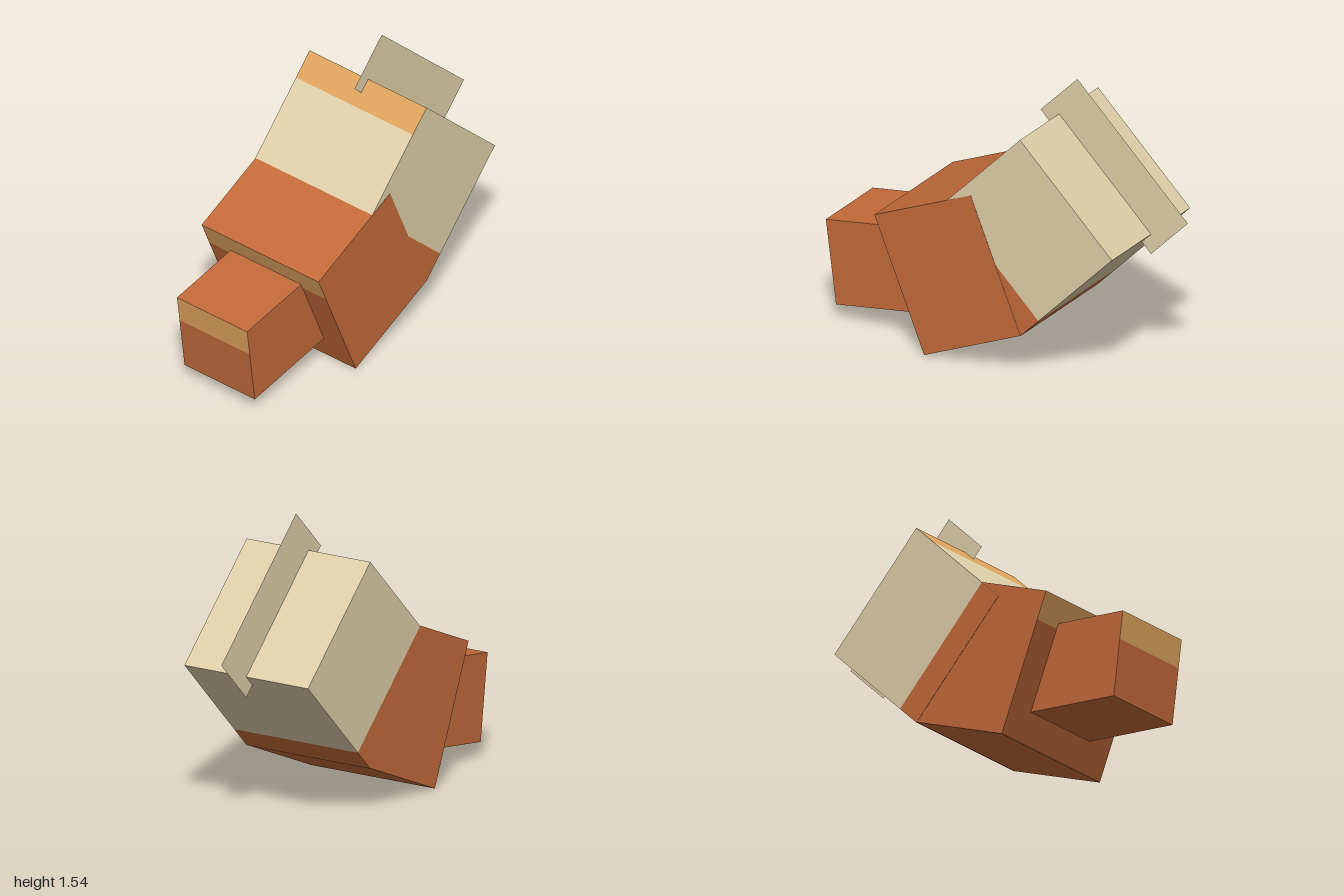
import * as THREE from 'three';

const U = 0.1538; // modular unit: every part is a whole number of units

function material(name, color, side = THREE.FrontSide) {
  const m = new THREE.MeshStandardMaterial({ color, side });
  m.name = name;
  return m;
}

export function createModel() {
  const rust = material('rust', 0xc46a3a);
  const sand = material('sand', 0xdfcfa9, THREE.DoubleSide);
  const amber = material('amber', 0xdfa35e);

  const model = new THREE.Group();
  model.name = 'model';

  // A section hangs from its upper front edge and tips forward by a slope in degrees
  function section(name, x, y, z, slope) {
    const g = new THREE.Group();
    g.name = name;
    g.position.set(x, y, z);
    g.rotation.x = THREE.MathUtils.degToRad(slope);
    model.add(g);
    return g;
  }

  // Block of w x h x d units, placed down and back from the section's edge.
  // Faces take the base material unless a top or front one is given.
  function block(parent, name, [w, h, d], [down, back], base, { top = base, front = base } = {}) {
    const mesh = new THREE.Mesh(
      new THREE.BoxGeometry(w * U, h * U, d * U),
      [base, base, top, base, front, base]
    );
    mesh.name = name;
    mesh.position.set(0, -(down + h / 2) * U, -(back + d / 2) * U);
    parent.add(mesh);
  }

  // Snout with a pale band across the top of its front
  const snout = section('snout', 0, 0.54, 1.0, 7.5);
  block(snout, 'snoutBand', [3, 1, 4], [0, 0], rust, { front: amber });
  block(snout, 'snoutLower', [3, 2, 4], [1, 0], rust);

  // Head, nudged sideways so its flanks do not coincide with the body's
  const head = section('head', 0.0015, 0.711, 0.62, 22.5);
  block(head, 'headBand', [5, 1, 4], [0, 0], rust, { front: amber });
  block(head, 'headLower', [5, 4, 4], [1, 0], rust);

  // Body: rust collar, sand middle, and a tail end with an amber upper band
  const body = section('body', 0, 0.776, 0.304, 45);
  block(body, 'collar', [5, 5, 1], [0, 0], rust, { top: sand });
  block(body, 'bodyMiddle', [5, 5, 3], [0, 1], sand);
  block(body, 'bodyEnd', [5, 5, 1], [0, 4], sand, { top: amber });

  // Flat upright fin set into the tail end
  const fin = new THREE.Mesh(new THREE.PlaneGeometry(2 * U, 6 * U), sand);
  fin.name = 'fin';
  fin.rotation.y = Math.PI / 2;
  fin.position.set(0, -2.5 * U, -5.5 * U);
  body.add(fin);

  return model;
}
